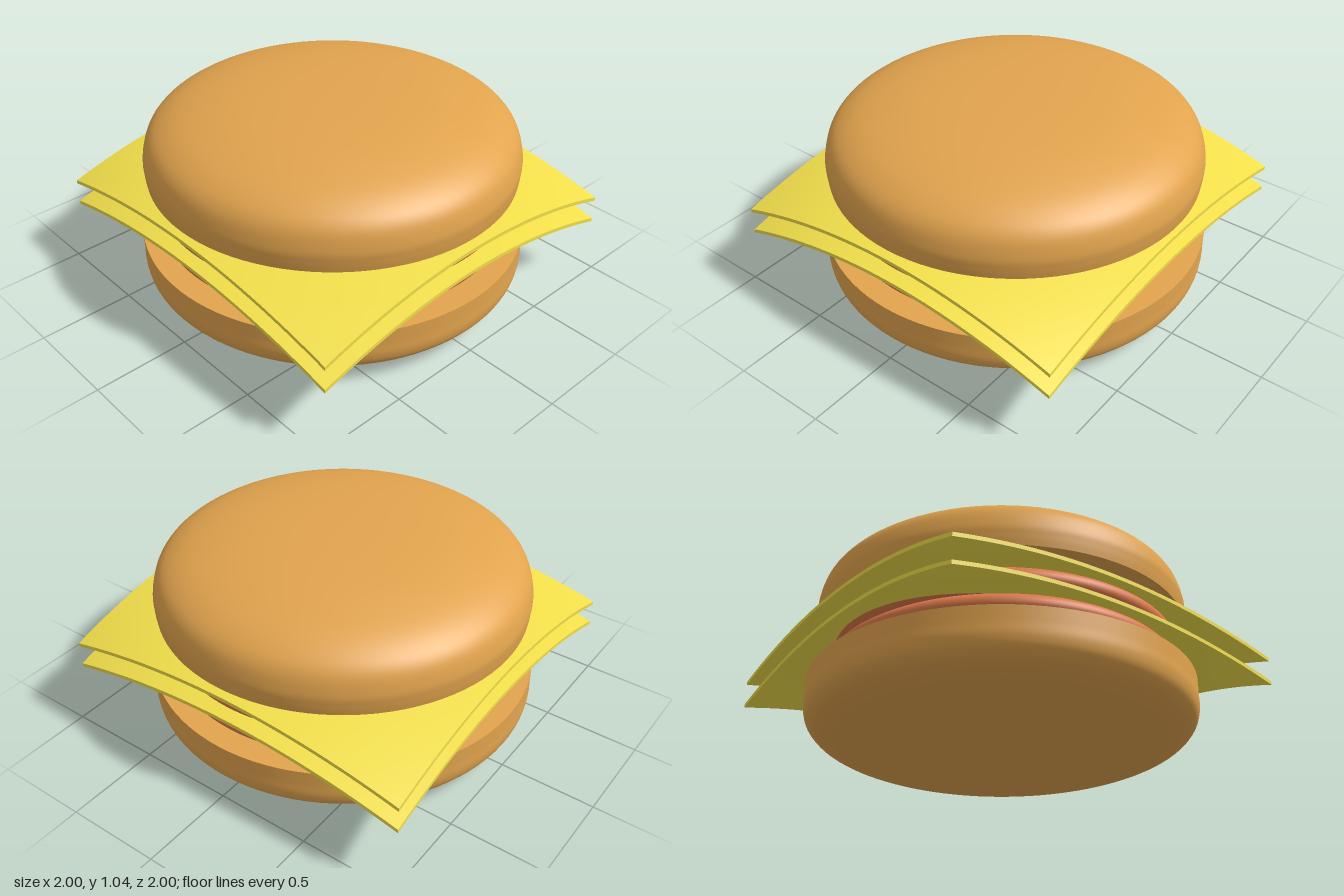
import * as THREE from 'three';

const bunMat = new THREE.MeshStandardMaterial({ color: 0xe2a44e });
const cheeseMat = new THREE.MeshStandardMaterial({ color: 0xf3e04b });
const pattyMat = new THREE.MeshStandardMaterial({ color: 0xe07a4c });

// Smooth lathe through a few [radius, height] points, listed bottom to top
function lathe(points, material) {
  const curve = new THREE.SplineCurve(points.map(([r, y]) => new THREE.Vector2(r, y)));
  const profile = curve.getPoints(48);
  profile.forEach((p) => { p.x = Math.max(p.x, 0); });
  return new THREE.Mesh(new THREE.LatheGeometry(profile, 96), material);
}

// Flat disc closing the cut face of a bun, facing up or down
function cutFace(radius, y, up) {
  const disc = new THREE.Mesh(new THREE.CircleGeometry(radius, 96), bunMat);
  disc.rotation.x = up ? -Math.PI / 2 : Math.PI / 2;
  disc.position.y = y;
  disc.name = 'cutFace';
  return disc;
}

function bun(name, points, cutRadius, cutY, up) {
  const group = new THREE.Group();
  group.name = name;
  const crust = lathe(points, bunMat);
  crust.name = 'crust';
  group.add(crust, cutFace(cutRadius, cutY, up));
  return group;
}

// Thin square slice that sags toward its edges and most at its corners
function cheeseSlice() {
  const geo = new THREE.BoxGeometry(1.9, 0.02, 1.97, 40, 1, 40);
  const pos = geo.attributes.position;
  for (let i = 0; i < pos.count; i++) {
    const x2 = pos.getX(i) ** 2, z2 = pos.getZ(i) ** 2;
    pos.setY(i, pos.getY(i) - 0.11 * x2 - 0.067 * z2 - 0.062 * x2 * z2);
  }
  geo.computeVertexNormals();
  return new THREE.Mesh(geo, cheeseMat);
}

export function createModel() {
  const model = new THREE.Group();
  model.name = 'cheeseburger';

  model.add(bun('bottomBun', [
    [0, 0], [0.3, 0.003], [0.6, 0.014], [0.8, 0.038], [0.92, 0.075],
    [0.98, 0.123], [1, 0.18], [1, 0.25], [1, 0.325],
  ], 1, 0.325, true));

  // Two layers of patty and cheese
  for (let i = 0; i < 2; i++) {
    const patty = lathe([
      [0, 0], [0.45, 0], [0.8, 0.005], [0.89, 0.03], [0.915, 0.07],
      [0.89, 0.115], [0.8, 0.145], [0.45, 0.17], [0, 0.175],
    ], pattyMat);
    patty.name = i ? 'upperPatty' : 'lowerPatty';
    patty.position.y = 0.32 + i * 0.135;

    const cheese = cheeseSlice();
    cheese.name = i ? 'upperCheese' : 'lowerCheese';
    cheese.position.y = 0.547 + i * 0.13;
    model.add(patty, cheese);
  }

  model.add(bun('topBun', [
    [0.957, 0.65], [0.963, 0.7], [0.963, 0.76], [0.935, 0.85], [0.87, 0.915],
    [0.75, 0.97], [0.55, 1.015], [0.3, 1.038], [0, 1.045],
  ], 0.957, 0.65, false));

  return model;
}
